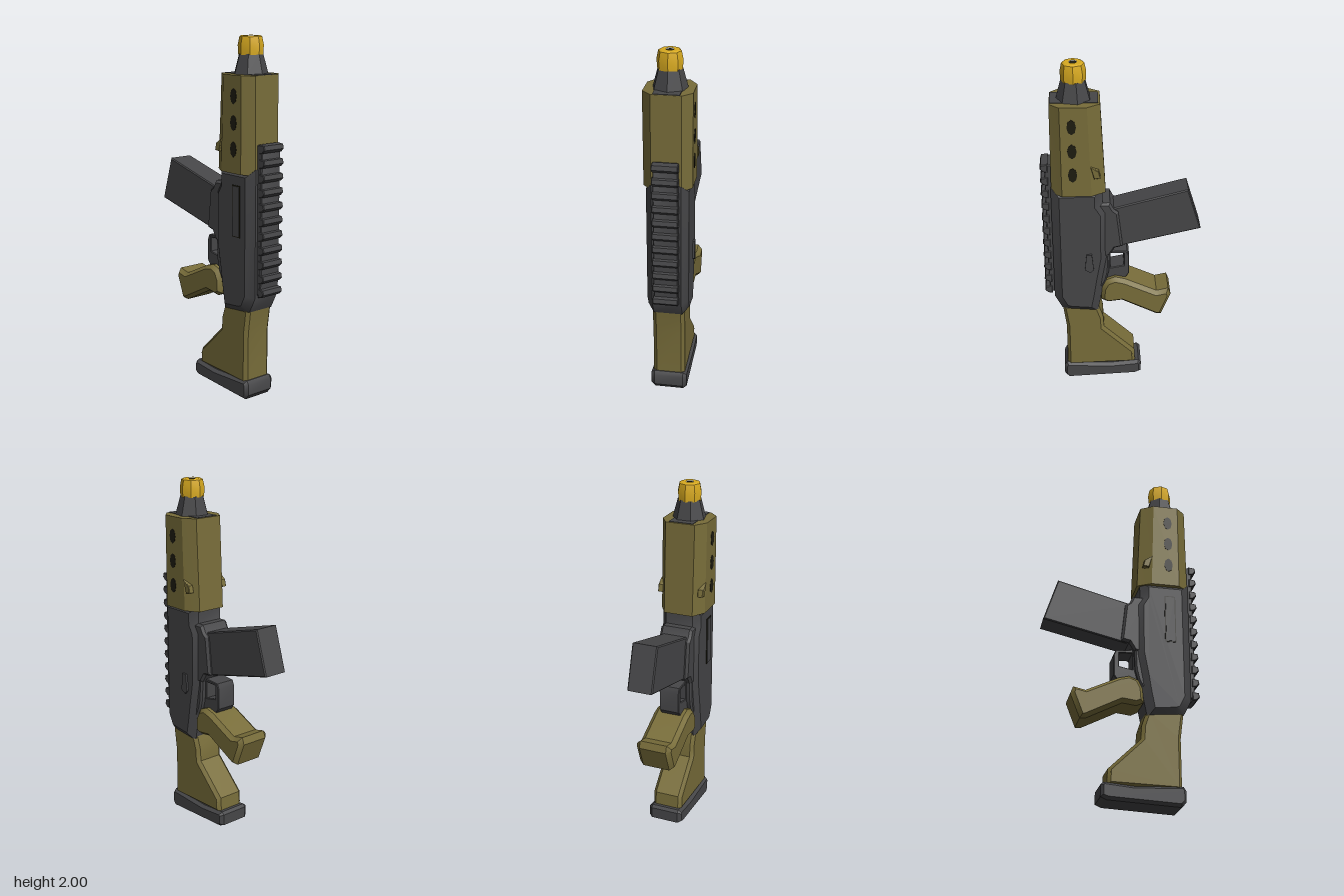
import * as THREE from 'three';
import { toCreasedNormals } from 'three/addons/utils/BufferGeometryUtils.js';

const mat = (name, color) => new THREE.MeshStandardMaterial({ name, color });

export function createModel() {
  const group = new THREE.Group();
  const olive = mat('olive', 0x786d3a);
  const grey = mat('dark grey', 0x464648);
  const yellow = mat('yellow', 0xd8aa20);
  const black = mat('black', 0x1e1c10);

  const add = (name, geometry, material, x = 0, y = 0, z = 0) => {
    const mesh = new THREE.Mesh(geometry, material);
    mesh.name = name;
    mesh.position.set(x, y, z);
    group.add(mesh);
    return mesh;
  };
  const outline = (pts) => pts.map(([a, b]) => new THREE.Vector2(a, b));

  // Side profile in (z, y), extruded across x with chamfered edges
  const slab = (name, material, pts, half, size = 0.015, depth = size, hole = null, x = 0) => {
    const shape = new THREE.Shape(outline(pts));
    if (hole) shape.holes.push(new THREE.Path(outline(hole)));
    const geo = new THREE.ExtrudeGeometry(shape, {
      depth: 2 * (half - depth), bevelEnabled: size > 0, bevelSize: size,
      bevelOffset: -size, bevelThickness: depth, bevelSegments: 1,
    });
    geo.translate(0, 0, depth - half);
    geo.rotateY(-Math.PI / 2);
    return add(name, toCreasedNormals(geo, 0.6), material, x);
  };

  // Butt pad and skeleton stock
  slab('buttPad', grey, [[0.345, 0.03], [0.32, 0], [-0.08, 0.02], [-0.115, 0.035], [-0.115, 0.1],
    [-0.1, 0.115], [0.06, 0.1], [0.33, 0.112], [0.345, 0.09]], 0.102, 0.015, 0.02);
  const recess = [[0.2, 0.36], [0.2, 0.15], [0, 0.155], [-0.04, 0.17]];
  slab('stock', olive, [[0.325, 0.09], [0.325, 0.38], [0.345, 0.53], [0.14, 0.53], [0.11, 0.44],
    [0.105, 0.365], [-0.075, 0.19], [-0.08, 0.1]], 0.09, 0.018, 0.02, recess);
  slab('stockWeb', olive, [[0.22, 0.39], [0.22, 0.13], [-0.06, 0.13], [-0.06, 0.17], [0.13, 0.36]], 0.06, 0);

  // Receiver
  slab('receiver', grey, [[0.388, 1.31], [0.388, 0.6], [0.345, 0.515], [0.3, 0.5], [0.14, 0.485],
    [0.115, 0.62], [0.1, 0.72], [0.075, 0.86], [0.075, 1.16], [0.105, 1.21], [0.105, 1.31]],
  0.115, 0.045, 0.035);
  slab('magazineWell', grey, [[0.16, 1.21], [0.065, 1.21], [0.045, 1.17], [0.02, 1.15],
    [-0.005, 0.93], [0.04, 0.92], [0.07, 0.87], [0.16, 0.85]], 0.095, 0.012, 0.015);
  slab('lowerReceiver', grey, [[0.2, 0.88], [0.07, 0.88], [0.075, 0.76], [0.09, 0.7], [0.13, 0.62], [0.2, 0.6]],
    0.09, 0.01);
  slab('ejectionPort', black, [[0.303, 1.215], [0.24, 1.215], [0.24, 0.93], [0.303, 0.93]], 0.003, 0, 0, null, -0.115);
  slab('portCover', grey, [[0.297, 1.209], [0.246, 1.209], [0.246, 0.936], [0.297, 0.936]], 0.004, 0, 0, null, -0.117);
  slab('leftLever', grey, [[0.2, 0.9], [0.17, 0.9], [0.16, 0.8], [0.18, 0.78], [0.21, 0.8]], 0.008, 0, 0, null, 0.118);

  // Magazine
  slab('magazine', grey, [[0.06, 1.165], [-0.365, 1.277], [-0.442, 1.03], [0.03, 0.92]], 0.073, 0.006);

  // Trigger guard and trigger
  slab('triggerGuard', grey, [[0.1, 0.9], [0.04, 0.885], [-0.03, 0.88], [-0.042, 0.85], [-0.042, 0.73],
    [-0.02, 0.7], [0.1, 0.68]], 0.06, 0.004, 0.004,
  [[0.065, 0.868], [-0.012, 0.865], [-0.012, 0.785], [0.065, 0.77]]);

  // Pistol grip
  slab('grip', olive, [[0.12, 0.57], [0.115, 0.65], [0.09, 0.7], [0.04, 0.72], [-0.02, 0.705], [-0.2, 0.62],
    [-0.268, 0.635], [-0.283, 0.595], [-0.23, 0.458], [-0.2, 0.458], [0, 0.56], [0.08, 0.55]], 0.105, 0.02, 0.025);

  // Handguard: octagonal section, its back face tapering toward the top
  const octagon = [[-0.08, -0.385], [0.08, -0.385], [0.131, -0.325], [0.131, -0.165],
    [0.085, -0.088], [-0.085, -0.088], [-0.131, -0.165], [-0.131, -0.325]];
  const guard = new THREE.ExtrudeGeometry(new THREE.Shape(outline(octagon)), { depth: 0.52, bevelEnabled: false });
  guard.rotateX(-Math.PI / 2);
  const p = guard.attributes.position;
  for (let i = 0; i < p.count; i++) {
    const t = p.getY(i) / 0.52;
    p.setZ(i, 0.385 - (0.385 - p.getZ(i)) * (1 - 0.1 * t) - 0.005 * t);
  }
  add('handguard', toCreasedNormals(guard, 0.5), olive, 0, 1.28, 0);
  add('handguardCap', new THREE.BoxGeometry(0.14, 0.008, 0.255), grey, 0, 1.799, 0.25);

  // Vent holes and sling loops on both sides
  for (const side of [-1, 1]) {
    for (const y of [1.41, 1.55, 1.69]) {
      const vent = add('ventHole', new THREE.CylinderGeometry(0.025, 0.025, 0.006, 8), black, side * 0.13, y, 0.265);
      vent.rotation.z = Math.PI / 2;
      vent.scale.x = 1.7;
    }
    slab('slingLoop', olive, [[0.17, 1.46], [0.125, 1.43], [0.115, 1.39], [0.15, 1.385]], 0.016, 0.003, 0.003, null, side * 0.119);
  }

  // Top rail with wedge teeth
  slab('railBase', grey, [[0.37, 0.61], [0.41, 0.63], [0.418, 0.7], [0.418, 1.42], [0.405, 1.44], [0.37, 1.44]], 0.066, 0.004);
  for (let i = 0; i < 11; i++) {
    const y = 0.61 + i * 0.0785;
    slab('railTooth', grey, [[0.4, y], [0.425, y + 0.004], [0.443, y + 0.022], [0.437, y + 0.046], [0.4, y + 0.05]], 0.07, 0.004);
  }

  // Barrel collar and bright muzzle tip with a recessed bore
  add('barrelCollar', toCreasedNormals(new THREE.CylinderGeometry(0.066, 0.096, 0.11, 7), 0.5), grey, 0, 1.85, 0.25);
  const tip = new THREE.LatheGeometry(outline([[0.066, 0], [0.069, 0.05], [0.06, 0.094], [0.05, 0.1], [0.022, 0.1]]), 8);
  add('muzzleTip', toCreasedNormals(tip, 0.5), yellow, 0, 1.9, 0.25);
  add('bore', new THREE.CylinderGeometry(0.023, 0.023, 0.006, 6), black, 0, 1.994, 0.25);

  return group;
}
